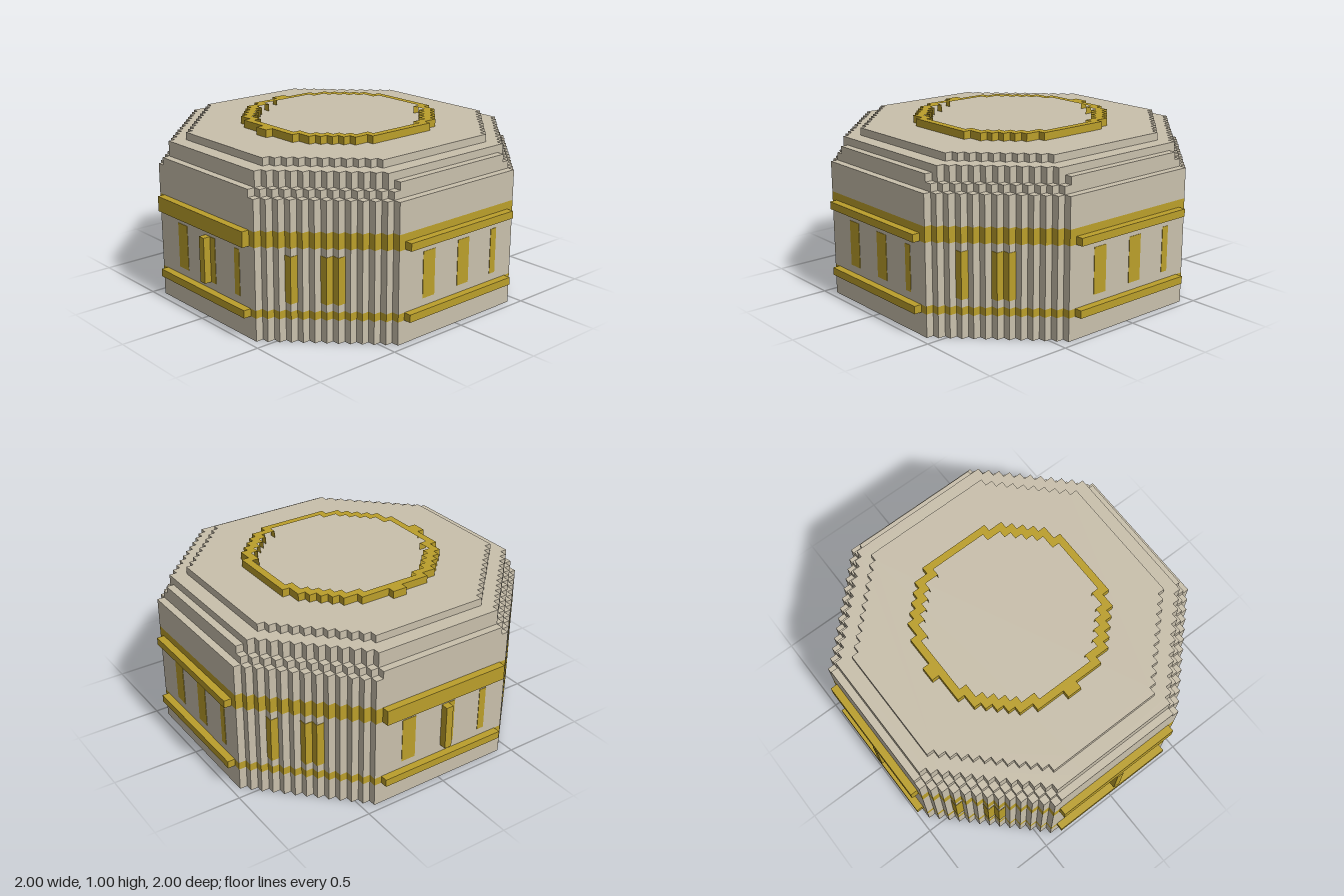
import * as THREE from 'three';

const UNIT = 1 / 23; // size of one block

export function createModel() {
  const stone = new THREE.MeshStandardMaterial({ color: 0xc9c0ac });
  stone.name = 'stone';
  const gold = new THREE.MeshStandardMaterial({ color: 0xbb9f2b });
  gold.name = 'gold';

  const root = new THREE.Group();
  root.name = 'octagonalHall';
  const model = new THREE.Group();
  model.name = 'blocks';
  model.scale.setScalar(UNIT);
  root.add(model);

  // Stepped outline: span(z) gives the [left, right] ends of each block row
  function outline(zMin, zMax, span, Type = THREE.Shape) {
    const right = [], left = [];
    for (let z = zMin; z < zMax; z++) {
      const [x0, x1] = span(z + 0.5);
      right.push(new THREE.Vector2(x1, -z), new THREE.Vector2(x1, -z - 1));
      left.push(new THREE.Vector2(x0, -z), new THREE.Vector2(x0, -z - 1));
    }
    // drop points where the row width does not change
    const points = [...right, ...left.reverse()];
    const clean = points.filter((p, i) => {
      const a = points[(i + points.length - 1) % points.length];
      const b = points[(i + 1) % points.length];
      return !p.equals(a) && !(a.x === p.x && p.x === b.x && !p.equals(b));
    });
    return new Type(clean);
  }

  function slab(name, shape, y0, y1, material) {
    const geometry = new THREE.ExtrudeGeometry(shape, { depth: y1 - y0, bevelEnabled: false });
    geometry.rotateX(-Math.PI / 2);
    const mesh = new THREE.Mesh(geometry, material);
    mesh.name = name;
    mesh.position.y = y0;
    model.add(mesh);
  }

  function box(parent, name, x0, x1, y0, y1, z0, z1) {
    const mesh = new THREE.Mesh(new THREE.BoxGeometry(x1 - x0, y1 - y0, z1 - z0), gold);
    mesh.name = name;
    mesh.position.set((x0 + x1) / 2, (y0 + y1) / 2, (z0 + z1) / 2);
    parent.add(mesh);
  }

  // Octagon from lo to hi on both axes, with corners cut at |x| + |z| = cut
  const octagon = (lo, hi, cut) => outline(lo, hi, (z) => {
    const half = cut - Math.abs(z) + 0.5;
    return [Math.max(lo, -half), Math.min(hi, half)];
  });

  // Walls with two flush bands
  const wall = octagon(-22, 22, 31);
  slab('wallBase', wall, 0, 3, stone);
  slab('lowerBand', wall, 3, 4, gold);
  slab('wallMiddle', wall, 4, 12, stone);
  slab('upperBand', wall, 12, 14, gold);
  slab('wallTop', wall, 14, 18, stone);

  // Stepped roof
  const roof = [[-22, 21, 30], [-21, 21, 29], [-21, 20, 29], [-19, 18, 26]];
  roof.forEach(([lo, hi, cut], i) => slab('roofStep', octagon(lo, hi, cut), 18 + i, 19 + i, stone));

  // Raised ring on the roof, with a one-block bump at the back and on one side
  const disc = (z, r) => {
    let n = 0;
    while (Math.hypot(n + 0.5, z) <= r) n++;
    return n;
  };
  const ring = outline(-13, 12, (z) => {
    const n = disc(z, 12.53);
    return [-n, Math.min(n, 12)];
  });
  ring.holes.push(outline(-11, 11, (z) => [-disc(z, 11.3), disc(z, 11.3)], THREE.Path));
  slab('roofRing', ring, 22, 23, gold);

  // Four sides: front, right, back, left, each a quarter turn on
  const skin = 0.06;
  for (let side = 0; side < 4; side++) {
    const group = new THREE.Group();
    group.name = 'sideTrim';
    group.rotation.y = side * Math.PI / 2;
    model.add(group);
    const heavy = side >= 2;

    // Projecting rails
    box(group, 'lowerRail', -9, 9, 3, 4, 22, 23);
    box(group, 'upperRail', -9, 9, 12, heavy ? 14 : 13, 22, 23);

    // Windows on the flat wall
    for (const [x0, x1] of [[-6, -4], [0, 2], [6, 7]]) {
      box(group, 'window', x0, x1, 5, 11, 22, 22 + skin);
    }
    if (heavy) box(group, 'pillar', 0, 1, 5, 11, 22, 23);

    // Windows wrapping the stepped corner
    for (const x of [12, 15, 16]) {
      const z = 30 - x;
      box(group, 'cornerWindow', x + 0.5, x + 1 + skin, 5, 11, z, z + 1 + skin);
      box(group, 'cornerWindow', x, x + 0.5, 5, 11, z + 0.5, z + 1 + skin);
      box(group, 'cornerWindow', x + 0.5, x + 1 + skin, 5, 11, z, z + 0.5);
    }
  }
  return root;
}
